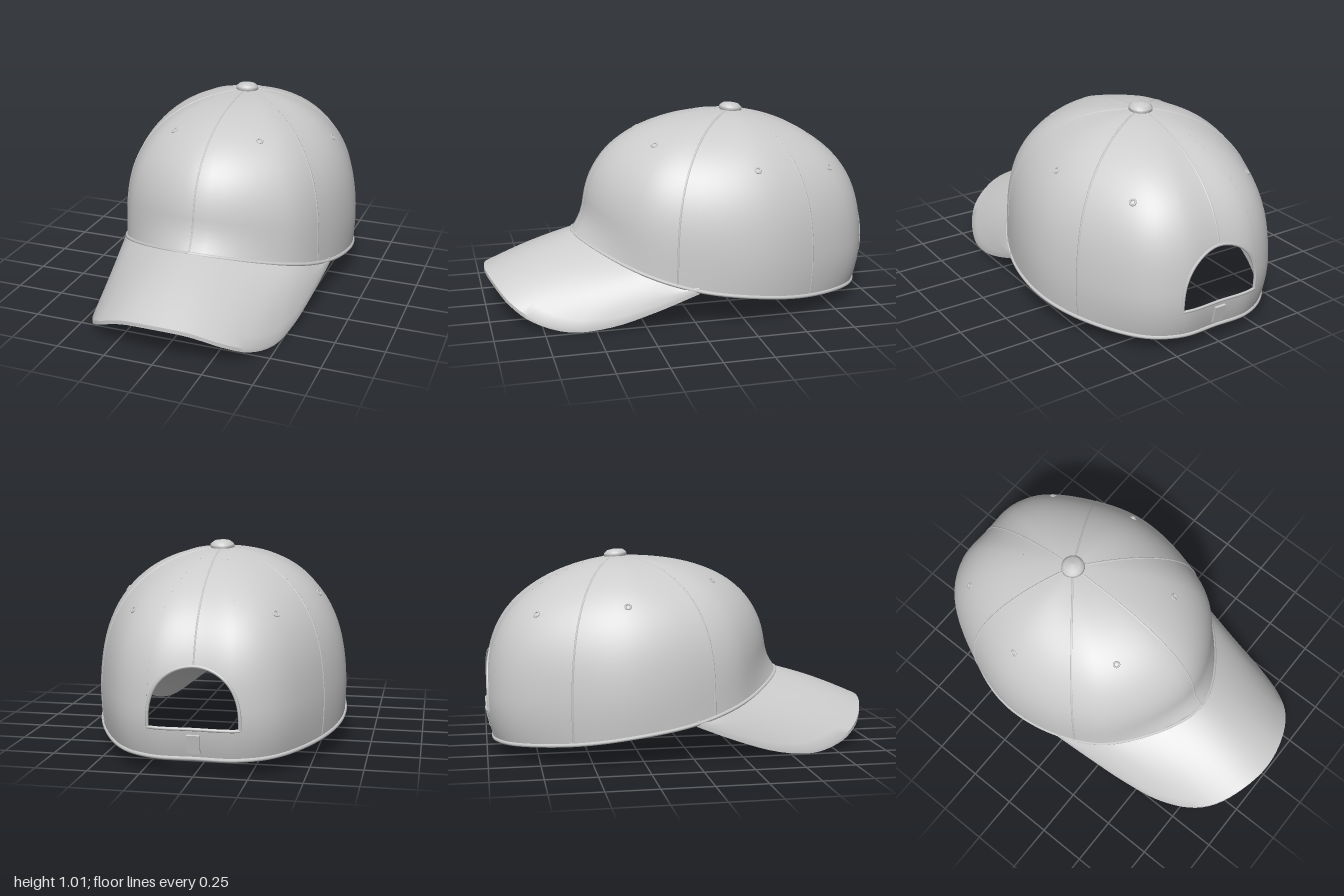
import * as THREE from 'three';
import { toCreasedNormals } from 'three/addons/utils/BufferGeometryUtils.js';

const APEX_Y = 0.98, APEX_Z = -0.32;
const V = (x, y, z) => new THREE.Vector3(x, y, z);

// Crown ribs: angle from the front, radius, rim height, flare at the rim, and two roundness powers
const RIBS = [
  [0, .80, .37, .06, 2.4, 2.8],
  [35, .735, .27, .01, 2.2, 3],
  [60, .66, .19, 0, 2, 3.1],
  [90, .622, .14, -.01, 2, 3.1],
  [117, .617, .10, -.015, 1.8, 3.4],
  [147, .69, .075, -.035, 1.55, 3.7],
  [163, .705, .07, -.04, 1.5, 3.8],
  [180, .68, .07, -.04, 1.5, 3.8],
];
const N = 14; // ribs round the crown, both sides

// Each rib is a superellipse from rim (v = 0) to apex (v = 1)
function ribPoint(i, v) {
  const [deg, radius, rim, flare, p, q] = RIBS[i <= 7 ? i : N - i];
  const a = THREE.MathUtils.degToRad(i <= 7 ? deg : -deg);
  const h = 1 - (1 - v) ** 2;
  const r = radius * (1 - h ** q) ** (1 / p) + flare * Math.max(0, 1 - h / 0.25) ** 2;
  return V(r * Math.sin(a), rim + (APEX_Y - rim) * h, APEX_Z + r * Math.cos(a));
}

// Point on the crown: u runs round it (0 front, 7 back), v from rim to apex
function crownPoint(u, v) {
  const t = THREE.MathUtils.clamp(v, 0, 0.995);
  const ring = new THREE.CatmullRomCurve3(Array.from({ length: N }, (_, i) => ribPoint(i, t)), true);
  return ring.getPoint((((u % N) + N) % N) / N);
}

function crownNormal(u, v) {
  const w = Math.min(v, 0.98);
  const du = crownPoint(u + 0.03, w).sub(crownPoint(u - 0.03, w));
  const dv = crownPoint(u, w + 0.005).sub(crownPoint(u, w - 0.005));
  return du.cross(dv).normalize();
}

const offsetPoint = (u, v, d) => crownPoint(u, v).addScaledVector(crownNormal(u, v), d);

// Grid surface through point(s, t), with s and t from 0 to 1
function grid(nu, nv, point) {
  const pos = [], idx = [];
  for (let i = 0; i <= nu; i++) {
    for (let j = 0; j <= nv; j++) {
      pos.push(...point(i / nu, j / nv).toArray());
      if (i < nu && j < nv) {
        const a = i * (nv + 1) + j, b = a + nv + 1;
        idx.push(a, b, b + 1, a, b + 1, a + 1);
      }
    }
  }
  const g = new THREE.BufferGeometry();
  g.setAttribute('position', new THREE.Float32BufferAttribute(pos, 3));
  g.setIndex(idx);
  return g;
}

export function createModel() {
  const group = new THREE.Group();
  const mat = new THREE.MeshStandardMaterial({ color: 0xcccccc, side: THREE.DoubleSide });
  const add = (name, geo) => {
    const m = new THREE.Mesh(geo, mat);
    m.name = name;
    group.add(m);
    return m;
  };
  // Piece of the crown surface, with normals taken from the whole crown so pieces join smoothly
  const patch = (name, nu, nv, uv, d = 0) => {
    const g = grid(nu, nv, (s, t) => offsetPoint(...uv(s, t), d));
    const normals = grid(nu, nv, (s, t) => crownNormal(...uv(s, t)));
    g.setAttribute('normal', normals.getAttribute('position'));
    add(name, g);
  };
  const steps = (n, f) => Array.from({ length: n + 1 }, (_, i) => f(i / n));
  const tube = (name, pts, r) => add(name,
    new THREE.TubeGeometry(new THREE.CatmullRomCurve3(pts), pts.length * 2, r, 6));

  // Crown, leaving an arched opening at the back above a strap
  const HALF = 1.05, BASE = 0.086, ARCH = 0.19;
  const holeU = (s) => 7 - HALF * Math.cos(Math.PI * s);
  const archV = (s) => BASE + ARCH * Math.max(0, Math.sin(Math.PI * s)) ** 0.8;
  const mainU = (s) => 7 + HALF + s * (N - 2 * HALF);
  patch('crown', 72, 28, (s, t) => [mainU(s), t]);
  patch('crownBack', 24, 24, (s, t) => [holeU(s), archV(s) + t * (1 - archV(s))]);
  patch('backStrap', 24, 4, (s, t) => [holeU(s), t * BASE]);
  patch('sweatband', 72, 3, (s, t) => [mainU(s), t * 0.06], -0.015);

  // Bound edges of the rim and the opening
  tube('rimBinding', steps(70, (s) => crownPoint(s * N, 0.003)), 0.01);
  tube('openingBinding', steps(24, (s) => crownPoint(holeU(s), archV(s))), 0.008);
  tube('strapEdge', steps(12, (s) => crownPoint(holeU(s), BASE)), 0.008);

  // Panel seams
  for (const u of [0, 1.7, 4, 7, 10, 12.3]) {
    const v0 = u === 7 ? BASE + ARCH : 0;
    tube('panelSeam', steps(20, (s) => offsetPoint(u, v0 + s * (0.97 - v0), -0.003)), 0.006);
  }

  // Eyelets
  for (const [u, v] of [[0.75, 0.58], [3, 0.49], [4.8, 0.46]]) {
    for (const w of [u, N - u]) {
      const eyelet = add('eyelet', new THREE.TorusGeometry(0.014, 0.005, 6, 14));
      eyelet.position.copy(crownPoint(w, v));
      eyelet.quaternion.setFromUnitVectors(V(0, 0, 1), crownNormal(w, v));
    }
  }

  // Top button
  const button = add('topButton', new THREE.LatheGeometry([[0, -.03], [.045, -.025], [.06, -.008],
    [.058, .008], [.04, .022], [0, .028]].map((p) => new THREE.Vector2(...p)), 24));
  button.position.set(0, 0.987, APEX_Z);
  button.rotation.x = -0.1;

  // Strap buckle
  const buckle = add('strapBuckle', new THREE.BoxGeometry(0.06, 0.09, 0.02));
  buckle.position.copy(crownPoint(7, 0.045));
  buckle.lookAt(buckle.position.clone().add(crownNormal(7, 0.045)));

  // Brim: lofted between the crown rim and a curved outer edge, with thickness
  const edge = [[0, .208, .998], [.17, .188, .97], [.32, .122, .90], [.41, .062, .80],
    [.48, .021, .63], [.52, .043, .43], [.55, .11, .22], [.58, .20, 0]];
  const outer = new THREE.CatmullRomCurve3([
    ...edge.slice(1).reverse().map(([x, y, z]) => V(-x, y, z)),
    ...edge.map(([x, y, z]) => V(x, y, z)),
  ]);
  const ROWS = 8, LOOP = 2 * ROWS + 2;
  const brim = grid(56, LOOP, (s, t) => {
    const k = Math.round(t * LOOP);
    const under = k > ROWS && k < LOOP;
    const w = under ? (LOOP - 1 - k) / ROWS : (k % LOOP) / ROWS;
    const p = crownPoint(4 * s - 2, 0.005).lerp(outer.getPoint(s), w);
    p.y += 0.012 * Math.sin(Math.PI * w) - (under ? 0.02 : 0);
    return p;
  });
  brim.index.array.reverse();
  add('brim', toCreasedNormals(brim, 0.7));

  return group;
}
